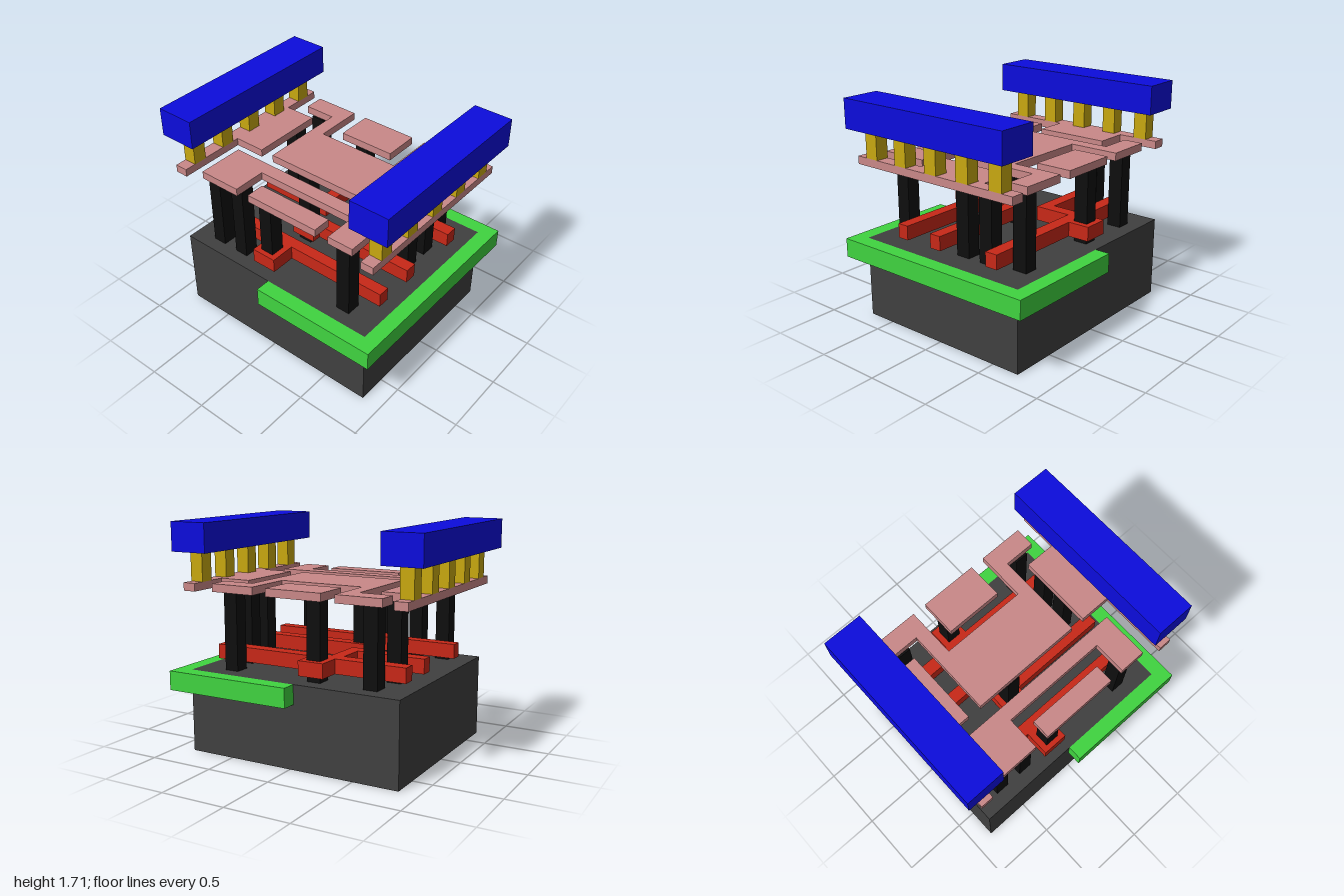
import * as THREE from 'three';

const mat = (color) => new THREE.MeshStandardMaterial({ color, flatShading: true });

export function createModel() {
  const root = new THREE.Group();
  const base = mat(0x404040), well = mat(0x40d440), red = mat(0xc82818);
  const black = mat(0x0e0e0e), pink = mat(0xc98888), gold = mat(0xc8a810), blue = mat(0x0c0cdc);

  // box given by its extents on each axis
  function box(name, material, [x0, x1], [y0, y1], [z0, z1]) {
    const mesh = new THREE.Mesh(new THREE.BoxGeometry(x1 - x0, y1 - y0, z1 - z0), material);
    mesh.position.set((x0 + x1) / 2, (y0 + y1) / 2, (z0 + z1) / 2);
    mesh.name = name;
    root.add(mesh);
  }

  // flat slab with an outline in (x, z), from height y0 to y1
  function slab(name, material, [y0, y1], outline) {
    const shape = new THREE.Shape(outline.map(([x, z]) => new THREE.Vector2(x, -z)));
    const geo = new THREE.ExtrudeGeometry(shape, { depth: y1 - y0, bevelEnabled: false });
    geo.rotateX(-Math.PI / 2);
    const mesh = new THREE.Mesh(geo, material);
    mesh.position.y = y0;
    mesh.name = name;
    root.add(mesh);
  }

  // Base block and the collar wrapped around one half of it
  box('baseBlock', base, [-0.85, 0.85], [0, 0.625], [-0.72, 0.72]);
  slab('wellCollar', well, [0.48, 0.625], [
    [-0.035, 0.72], [-0.035, 0.835], [0.965, 0.835], [0.965, -0.835],
    [-0.035, -0.835], [-0.035, -0.72], [0.85, -0.72], [0.85, 0.72],
  ]);

  // Lower bars with their contact pads
  const gateY = [0.67, 0.78];
  slab('gateBarFront', red, gateY, [
    [-0.78, 0.37], [0.78, 0.37], [0.78, 0.46], [-0.03, 0.46],
    [-0.03, 0.655], [-0.23, 0.655], [-0.23, 0.46], [-0.78, 0.46],
  ]);
  slab('gateBarMiddle', red, gateY, [
    [-0.23, 0.045], [0.78, 0.045], [0.78, 0.14], [-0.03, 0.14], [-0.03, 0.215], [-0.23, 0.215],
  ]);
  slab('gateBarBack', red, gateY, [
    [-0.78, -0.48], [-0.23, -0.48], [-0.23, -0.65], [-0.03, -0.65], [-0.03, -0.48], [0.78, -0.48],
    [0.78, -0.38], [-0.155, -0.38], [-0.155, -0.085], [-0.78, -0.085], [-0.78, -0.18],
    [-0.25, -0.18], [-0.25, -0.38], [-0.78, -0.38],
  ]);

  // Upright contacts from the base to the metal layer
  const contacts = [
    [-0.625, 0.56], [-0.4, 0.56], [-0.13, 0.56], [0.575, 0.56], [-0.13, 0.135],
    [0.62, -0.077], [0.62, -0.29], [-0.625, -0.29],
    [-0.575, -0.55], [-0.13, -0.55], [0.57, -0.55],
  ];
  for (const [x, z] of contacts) {
    box('contactPost', black, [x - 0.054, x + 0.054], [0.625, 1.21], [z - 0.056, z + 0.056]);
  }

  // Metal layer
  const metalY = [1.21, 1.27];
  slab('metalFrontBracket', pink, metalY, [
    [-0.69, 0.29], [0.685, 0.29], [0.685, 0.66], [0.48, 0.66],
    [0.48, 0.4], [-0.35, 0.4], [-0.35, 0.66], [-0.69, 0.66],
  ]);
  box('metalFrontPad', pink, [-0.24, 0.37], metalY, [0.515, 0.66]);
  box('metalBackPad', pink, [-0.225, 0.225], metalY, [-0.665, -0.38]);
  slab('metalCentre', pink, metalY, [
    [-0.69, -0.665], [-0.335, -0.665], [-0.335, -0.275], [0.335, -0.275], [0.335, -0.665],
    [0.685, -0.665], [0.685, -0.51], [0.44, -0.51], [0.44, 0.185], [-0.44, 0.185],
    [-0.44, -0.51], [-0.69, -0.51],
  ]);

  // Mirrored sides: metal rail with tab, row of vias, upper beam
  for (const s of [-1, 1]) {
    const side = s > 0 ? 'left' : 'right';
    const span = (a, b) => (s > 0 ? [a, b] : [-b, -a]);
    slab(side + 'Rail', pink, metalY, [
      [0.9, 0.72], [0.9, -0.72], [0.8, -0.72], [0.8, -0.4],
      [0.55, -0.4], [0.55, 0.185], [0.8, 0.185], [0.8, 0.72],
    ].map(([x, z]) => [s * x, z]));
    for (let i = -2; i <= 2; i++) {
      const z = i * 0.288;
      box(side + 'Via', gold, span(0.797, 0.9), [1.27, 1.49], [z - 0.054, z + 0.054]);
    }
    box(side + 'Beam', blue, span(0.7, 1), [1.49, 1.71], [-0.72, 0.72]);
  }

  return root;
}
